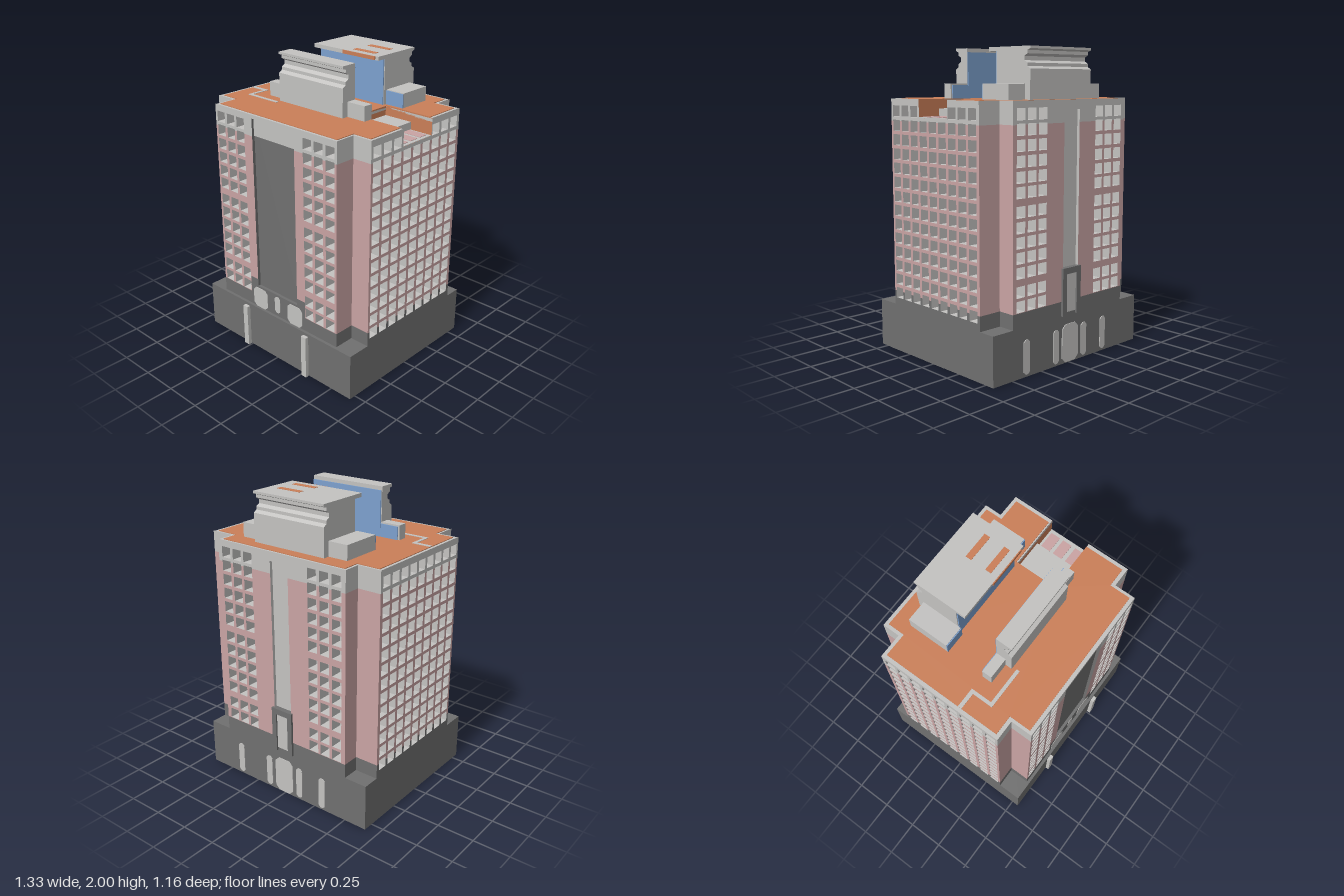
import * as THREE from 'three';
import { mergeGeometries } from 'three/addons/utils/BufferGeometryUtils.js';

const mat = (name, color) => {
  const m = new THREE.MeshStandardMaterial({ color });
  m.name = name;
  return m;
};
const M = {
  pink: mat('pinkWall', 0xcaa4a4),
  gray: mat('lightStone', 0xc4c3c1),
  dark: mat('darkStone', 0x707070),
  orange: mat('roofOrange', 0xcb7f58),
  blue: mat('blueWall', 0x7da1cf),
  brown: mat('undersideBrown', 0xc87c10),
};

const WIN = 0.071, ROOF = 1.68, BASE = 0.32;
const PX = 0, PY = 2, PZ = 4; // box face numbers

function add(parent, name, geo, material) {
  const mesh = new THREE.Mesh(geo, material);
  mesh.name = name;
  parent.add(mesh);
  return mesh;
}

// Box given by its two corners
function box(parent, name, material, x0, x1, y0, y1, z0, z1) {
  const g = new THREE.BoxGeometry(x1 - x0, y1 - y0, z1 - z0);
  g.translate((x0 + x1) / 2, (y0 + y1) / 2, (z0 + z1) / 2);
  return add(parent, name, g, material);
}

// Inside of a box, seen through the faces left out
function room(u0, u1, v0, v1, z0, z1, omit = [PZ]) {
  const g = new THREE.BoxGeometry(u1 - u0, v1 - v0, z1 - z0);
  g.translate((u0 + u1) / 2, (v0 + v1) / 2, (z0 + z1) / 2);
  const idx = Array.from(g.index.array).filter((_, i) => !omit.includes(Math.floor(i / 6)));
  g.setIndex(idx.reverse());
  const n = g.attributes.normal;
  for (let i = 0; i < n.count; i++) n.setXYZ(i, -n.getX(i), -n.getY(i), -n.getZ(i));
  return g;
}

const shapeOf = (pts) => new THREE.Shape(pts.map(([x, y]) => new THREE.Vector2(x, y)));
const extrude = (pts, depth) =>
  new THREE.ExtrudeGeometry(shapeOf(pts), { depth, bevelEnabled: false });

// Horizontal slab from an outline of [x, z] points
function slab(parent, name, material, pts, y, height) {
  const g = extrude(pts.map(([x, z]) => [x, -z]), height);
  g.rotateX(-Math.PI / 2).translate(0, y, 0);
  return add(parent, name, g, material);
}

// Upright plate with clipped corners; side = 1 faces the front, -1 the back
function arch(parent, name, material, x, w, y0, y1, z, side, c = 0.015) {
  const h = w / 2;
  const g = extrude([[-h + c, y0], [h - c, y0], [h, y0 + c], [h, y1 - c],
    [h - c, y1], [-h + c, y1], [-h, y1 - c], [-h, y0 + c]], 0.008);
  if (side < 0) g.rotateY(Math.PI);
  g.translate(x, 0, z);
  return add(parent, name, g, material);
}

const span = (center) => [center - WIN / 2, center + WIN / 2];
const inside = (v, [a, b]) => v > a && v < b;

// Banded wall with deep window recesses, built in its own plane and turned by angle
function wall(parent, name, angle, dist, u0, u1, opt = {}) {
  const cols = (opt.cols || []).map(span), rows = (opt.rows || []).map(span);
  const gap = opt.gap, plinth = opt.plinth;
  const us = [u0, u1, ...cols.flat()], vs = [BASE, 0.415, 1.54, ROOF, ...rows.flat()];
  if (gap) { us.push(gap[0], gap[1]); vs.push(gap[2], gap[3]); }
  if (plinth) { us.push(-plinth, plinth); vs.push(0.53); }
  const sorted = (a) => a.sort((p, q) => p - q).filter((v, i) => !i || v - a[i - 1] > 1e-6);
  const U = sorted(us), V = sorted(vs);
  const inGap = (u, v) => gap && inside(u, gap) && inside(v, gap.slice(2, 4));
  const parts = { pink: [], gray: [], dark: [] };
  for (let i = 0; i + 1 < U.length; i++) for (let j = 0; j + 1 < V.length; j++) {
    const u = (U[i] + U[i + 1]) / 2, v = (V[j] + V[j + 1]) / 2;
    if (inGap(u, v)) continue;
    if (cols.some((c) => inside(u, c)) && rows.some((r) => inside(v, r))) continue;
    const low = v < 0.415 || (plinth && Math.abs(u) < plinth && v < 0.53);
    const g = new THREE.PlaneGeometry(U[i + 1] - U[i], V[j + 1] - V[j]);
    parts[low ? 'dark' : v > 1.54 ? 'gray' : 'pink'].push(g.translate(u, v, dist));
  }
  for (const c of cols) for (const r of rows) {
    if (inGap((c[0] + c[1]) / 2, (r[0] + r[1]) / 2)) continue;
    parts.gray.push(room(c[0], c[1], r[0], r[1], dist - 0.08, dist));
  }
  const group = new THREE.Group();
  group.name = name;
  group.rotation.y = angle;
  for (const key in parts) {
    if (parts[key].length) add(group, name + '_' + key, mergeGeometries(parts[key]), M[key]);
  }
  if (gap) {
    const { depth, color, omit } = opt.recess;
    add(group, name + '_recess', room(gap[0], gap[1], gap[2], gap[3], dist - depth, dist, omit), M[color]);
  }
  parent.add(group);
  return group;
}

export function createModel() {
  const model = new THREE.Group();
  model.name = 'hotelTower';

  // Base block, its underside and its pilasters
  box(model, 'base', M.dark, -0.665, 0.665, 0.004, BASE, -0.575, 0.55);
  box(model, 'underside', M.brown, -0.655, 0.655, 0.002, 0.006, -0.565, 0.54);
  box(model, 'undersideBand', M.dark, -0.41, 0.66, 0, 0.004, -0.11, 0.09);
  box(model, 'undersidePatch', M.dark, 0.17, 0.66, 0, 0.004, 0.27, 0.45);
  for (const s of [-1, 1])
    box(model, 'pilaster', M.gray, s * 0.28 - 0.021, s * 0.28 + 0.021, 0, 0.3, 0.55, 0.575);
  for (const x of [0.39, 0.13, -0.13, -0.32])
    arch(model, 'backNiche', M.gray, x, 0.05, 0.02, 0.24, -0.572, -1);
  arch(model, 'backDoor', M.gray, 0, 0.15, 0.01, 0.26, -0.572, -1, 0.03);

  // Tower walls
  const frontRows = [1.602, 1.512, 1.419, 1.326, 1.233, 1.143, 1.027, 0.934, 0.843, 0.751, 0.66, 0.544, 0.454];
  const sideRows = Array.from({ length: 14 }, (_, i) => 1.602 - i * 0.0922);
  const sideCols = Array.from({ length: 9 }, (_, i) => 0.337 - i * 0.0923);
  const both = (a) => [...a, ...a.map((v) => -v)];
  const Q = Math.PI / 2;
  wall(model, 'frontWall', 0, 0.53, -0.53, 0.53, {
    cols: both([0.477, 0.385, 0.294]), rows: frontRows, plinth: 0.255,
    gap: [-0.185, 0.185, 0.48, 1.66], recess: { depth: 0.02, color: 'dark' },
  });
  wall(model, 'backWall', Math.PI, 0.575, -0.505, 0.505, {
    cols: both([0.44, 0.348, 0.257]), rows: frontRows,
    gap: [-0.07, 0.07, 0.55, 1.62], recess: { depth: 0.02, color: 'gray' },
  });
  wall(model, 'leftWall', Q, 0.665, -0.39, 0.46, {
    cols: sideCols.map((z) => -z), rows: sideRows,
    gap: [-0.1, 0.175, 1.565, ROOF], recess: { depth: 0.365, color: 'orange', omit: [PY, PZ] },
  });
  wall(model, 'rightWall', -Q, 0.665, -0.46, 0.39, { cols: sideCols, rows: sideRows });
  for (const s of [-1, 1]) {
    const ends = (a, b) => (s > 0 ? [a, b] : [-b, -a]);
    wall(model, 'frontStep', 0, 0.39, ...ends(0.53, 0.665));
    wall(model, 'backStep', Math.PI, 0.46, ...ends(0.505, 0.665));
    wall(model, 'frontReturn', s * Q, 0.53, ...ends(-0.53, -0.39));
    wall(model, 'backReturn', s * Q, 0.505, ...ends(0.46, 0.575));
  }

  // Front centre: pale head of the tall panel and the entrance openings
  box(model, 'panelHead', M.gray, -0.185, 0.185, 1.54, 1.66, 0.505, 0.514);
  for (const s of [-1, 1])
    arch(model, 'entranceOpening', M.gray, s * 0.163, 0.135, BASE, 0.465, 0.525, 1, 0.025);
  arch(model, 'entranceSlot', M.gray, 0, 0.05, 0.345, 0.465, 0.525, 1);

  // Framed doorway above the base at the back
  for (const s of [-1, 1])
    box(model, 'doorJamb', M.dark, s * 0.065 - 0.018, s * 0.065 + 0.018, BASE, 0.62, -0.59, -0.555);
  box(model, 'doorHead', M.dark, -0.083, 0.083, 0.59, 0.63, -0.59, -0.555);
  box(model, 'doorPanel', M.gray, -0.047, 0.047, 0.34, 0.59, -0.58, -0.555);

  // Roof slab with the terrace cut into its left edge, and the orange deck
  slab(model, 'roofEdge', M.gray, [
    [-0.53, 0.53], [0.53, 0.53], [0.53, 0.39], [0.665, 0.39], [0.665, 0.1], [0.3, 0.1],
    [0.3, -0.175], [0.665, -0.175], [0.665, -0.46], [0.505, -0.46], [0.505, -0.575],
    [-0.505, -0.575], [-0.505, -0.46], [-0.665, -0.46], [-0.665, 0.39], [-0.53, 0.39],
  ], 1.655, 0.021);
  slab(model, 'roofDeck', M.orange, [
    [-0.51, 0.505], [0.51, 0.505], [0.51, 0.365], [0.64, 0.365], [0.64, 0.1], [0.3, 0.1],
    [0.3, -0.185], [0.64, -0.185], [0.64, -0.437], [0.482, -0.437], [0.482, -0.552],
    [-0.482, -0.552], [-0.482, -0.437], [-0.64, -0.437], [-0.64, 0.365], [-0.51, 0.365],
  ], 1.674, 0.006);
  const curb = [[-0.64, -0.52, 0.09, 0.115], [-0.53, -0.508, 0.09, 0.25], [-0.53, -0.26, 0.228, 0.25]];
  for (const [x0, x1, z0, z1] of curb) box(model, 'roofCurb', M.gray, x0, x1, 1.676, 1.683, z0, z1);

  // Sunken terrace
  box(model, 'terraceStep', M.gray, 0.3, 0.505, 1.565, 1.62, -0.174, 0.099);
  box(model, 'terraceFloor', M.gray, 0.505, 0.664, 1.565, 1.57, -0.174, 0.099);
  for (const z of [-0.125, -0.035, 0.058])
    box(model, 'terracePad', M.pink, 0.505, 0.64, 1.567, 1.573, z - 0.033, z + 0.033);

  // Two penthouses with grooved outer faces; profiles are [z, y]
  const penthouse = (name, pts) => {
    const g = extrude(pts, 0.55);
    g.rotateY(-Q).translate(0.275, 0, 0);
    add(model, name, g, M.gray);
  };
  const grooves = (z, s) => [[z, 1.865], [z - s * 0.025, 1.88], [z - s * 0.025, 1.9], [z - s * 0.05, 1.915],
    [z - s * 0.05, 1.94], [z - s * 0.025, 1.955], [z - s * 0.025, 1.975], [z, 1.985], [z, 2]];
  penthouse('frontPenthouse', [[0.095, ROOF], [0.203, ROOF], ...grooves(0.203, 1), [0.095, 2]]);
  penthouse('backPenthouse', [[-0.185, ROOF], [-0.185, 1.975], [-0.12, 1.975], [-0.12, 2],
    ...grooves(-0.483, -1).reverse(), [-0.483, ROOF]]);
  box(model, 'overhangEdge', M.orange, -0.02, 0.25, 1.976, 1.999, -0.122, -0.114);
  for (const s of [-1, 1]) {
    const [a, b] = s > 0 ? [0.275, 0.412] : [-0.412, -0.275];
    const z = s > 0 ? -0.21 : -0.165;
    box(model, 'frontWing', M.gray, a, b, ROOF, 1.775, 0.095, 0.16);
    box(model, 'backWing', M.gray, a, b, ROOF, 1.775, -0.44, z);
    box(model, 'backWingFace', M.blue, a, b, ROOF, 1.77, z, z + 0.006);
  }
  box(model, 'backPenthouseFace', M.blue, -0.27, 0.27, ROOF, 1.975, -0.185, -0.178);
  box(model, 'frontPenthouseFace', M.blue, -0.27, 0.27, ROOF, 1.975, 0.088, 0.095);
  box(model, 'frontWingFace', M.blue, -0.4, 0.4, ROOF, 1.765, 0.089, 0.095);

  // Landing marks on the back penthouse
  for (const z of [-0.325, -0.185])
    box(model, 'landingBar', M.orange, 0.025, 0.205, 1.998, 2.002, z - 0.02, z + 0.02);
  return model;
}
